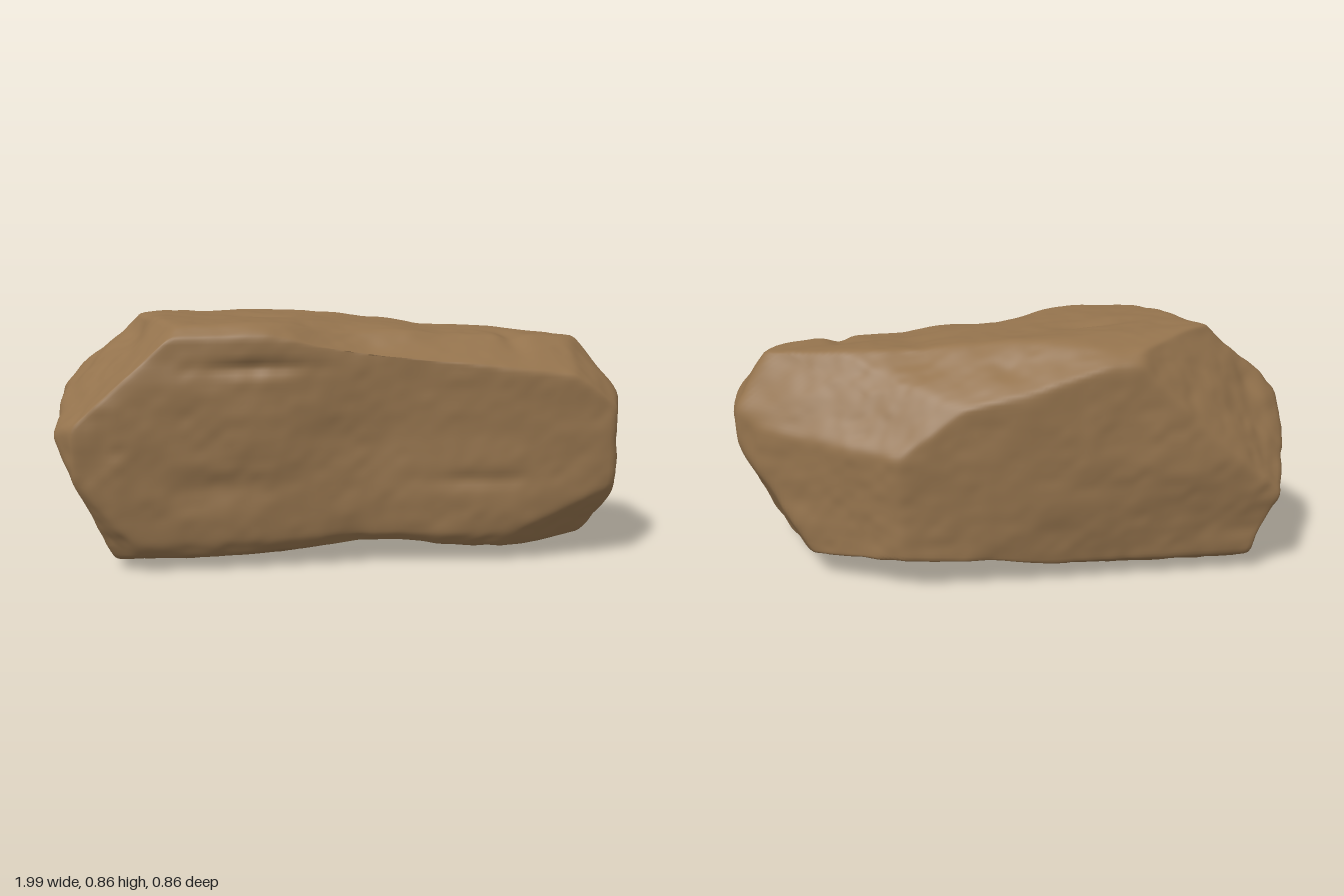
import * as THREE from 'three';
import { mergeVertices } from 'three/addons/utils/BufferGeometryUtils.js';

const MID = 0.43; // height of the rock's core

// Convex outlines of the boulder in three directions
const outlineXY = [[-1, 0.47], [-0.99, 0.6], [-0.72, 0.855], [0.05, 0.837], [0.87, 0.765], [1, 0.55],
  [0.98, 0.3], [0.88, 0.08], [0.55, 0.03], [-0.45, 0], [-0.79, 0]];
const outlineXZ = [[-0.94, -0.43], [-0.3, -0.435], [0.43, -0.375], [0.87, -0.1], [0.98, 0], [1, 0.2],
  [0.94, 0.39], [0.7, 0.405], [-0.92, 0.425], [-1, 0.3], [-1, -0.3]];
const outlineZY = [[0.36, 0.845], [-0.18, 0.855], [-0.36, 0.815], [-0.405, 0.77], [-0.43, 0.4], [-0.39, 0.06],
  [-0.33, 0.025], [-0.14, 0], [0.2, 0], [0.36, 0.045], [0.395, 0.1], [0.43, 0.5], [0.41, 0.8]];

// Broken faces, each a plane through three points
const chips = [
  [[0.45, 0.05, 0.4], [0.93, 0.27, 0.39], [0.88, 0.06, 0.26]], // low front right corner
  [[-0.88, 0.3, 0.42], [-0.6, 0.02, 0.42], [-0.82, 0.01, 0.28]], // low front left corner
  [[0.6, 0.8, 0.4], [0.93, 0.55, 0.4], [0.9, 0.72, 0.15]], // high front right corner
  [[-0.38, 0.76, -0.42], [-0.87, 0.31, -0.43], [-0.99, 0.6, -0.13]], // high back left
  [[-0.3, 0.77, -0.41], [0.43, 0.6, -0.365], [0.2, 0.82, -0.17]], // high back
  [[0.83, 0.77, 0.05], [0.92, 0.5, -0.08], [0.43, 0.5, -0.36]], // leaning slant behind the right end
  [[-0.3, 0.81, 0.41], [0.9, 0.65, 0.385], [0.6, 0.77, 0.24]], // high front edge
  [[-0.66, 0.75, 0.41], [-0.98, 0.5, 0.3], [-0.66, 0.85, 0.1]], // high front left
  [[0.98, 0.45, 0], [0.93, 0.3, 0.12], [0.8, 0.08, 0.08]], // undercut right end
  [[0.36, 0.1, -0.375], [0.72, 0.08, -0.19], [0.2, 0, -0.1]], // undercut back
];

// Shallow hollows: centre, radii, depth
const hollows = [
  [[-0.32, 0.7, 0.42], [0.2, 0.03, 0.2], 0.02],
  [[-0.4, 0.3, 0.42], [0.25, 0.06, 0.2], 0.012],
  [[0.45, 0.3, 0.4], [0.2, 0.035, 0.2], 0.012],
  [[0.1, 0.42, 0.4], [0.38, 0.5, 0.2], 0.04],
  [[0.03, 0.82, 0.32], [0.2, 0.15, 0.15], 0.035],
  [[0.1, 0, 0.2], [0.3, 0.15, 0.7], 0.04],
  [[0.35, 0.8, 0], [0.22, 0.12, 0.5], 0.022],
  [[0.6, 0.78, 0.2], [0.05, 0.15, 0.13], 0.02],
  [[-0.28, 0.85, -0.02], [0.13, 0.1, 0.05], 0.015],
  [[0.06, 0.82, -0.32], [0.06, 0.1, 0.05], 0.02],
  [[-0.74, 0.79, 0.05], [0.09, 0.1, 0.2], 0.03],
  [[-0.86, 0.7, -0.2], [0.05, 0.14, 0.12], 0.015],
  [[1, 0.5, -0.04], [0.1, 0.12, 0.04], 0.02],
];

function buildPlanes() {
  const planes = [];
  const core = new THREE.Vector3(0, MID, 0);
  const add = (a, b, c) => {
    const normal = b.clone().sub(a).cross(c.clone().sub(a)).normalize();
    let d = normal.dot(a.clone().sub(core));
    if (d < 0) { normal.negate(); d = -d; }
    planes.push({ normal, d });
  };
  const extrude = (outline, place) => outline.forEach((p, i) => {
    const q = outline[(i + 1) % outline.length];
    add(place(p, 0), place(q, 0), place(p, 1));
  });
  extrude(outlineXY, ([x, y], t) => new THREE.Vector3(x, y, t));
  extrude(outlineXZ, ([x, z], t) => new THREE.Vector3(x, t, z));
  extrude(outlineZY, ([z, y], t) => new THREE.Vector3(t, y, z));
  chips.forEach((c) => add(...c.map((p) => new THREE.Vector3(...p))));
  return planes;
}

// Smooth seeded value noise in -1..1
function hash(x, y, z) {
  let h = Math.imul(x, 374761393) ^ Math.imul(y, 668265263) ^ Math.imul(z, 873357471);
  h = Math.imul(h ^ (h >>> 13), 1274126177);
  return ((h ^ (h >>> 16)) >>> 0) / 2147483648 - 1;
}
function noise(x, y, z) {
  const i = [x, y, z].map(Math.floor);
  const [u, v, w] = [x - i[0], y - i[1], z - i[2]].map((t) => t * t * (3 - 2 * t));
  const mix = THREE.MathUtils.lerp;
  const row = (b, c) => mix(hash(i[0], i[1] + b, i[2] + c), hash(i[0] + 1, i[1] + b, i[2] + c), u);
  return mix(mix(row(0, 0), row(1, 0), v), mix(row(0, 1), row(1, 1), v), w);
}

// Rock roughness, stronger on the broken left-hand end
function relief(p) {
  const rough = 1 + 0.8 * THREE.MathUtils.smoothstep(-p.x, 0.68, 0.85);
  let h = 0.006 * noise(p.x * 4 + 9, p.y * 5, p.z * 5)
    + rough * 0.005 * noise(p.x * 9, p.y * 11 + 5, p.z * 11)
    + rough * 0.002 * noise(p.x * 22, p.y * 26, p.z * 26 + 3);
  for (const [c, r, depth] of hollows) {
    const s = ((p.x - c[0]) / r[0]) ** 2 + ((p.y - c[1]) / r[1]) ** 2 + ((p.z - c[2]) / r[2]) ** 2;
    h -= depth * Math.exp(-1.5 * s);
  }
  return h;
}

function buildRock() {
  let geometry = new THREE.BoxGeometry(1.9, 0.8, 0.8, 120, 54, 54);
  geometry.deleteAttribute('uv');
  geometry.deleteAttribute('normal');
  geometry.clearGroups();
  geometry = mergeVertices(geometry, 1e-4);
  const pos = geometry.attributes.position;
  const planes = buildPlanes();
  const p = new THREE.Vector3();
  const n = new THREE.Vector3();

  // Push the grid out to the planes, slightly rounding their edges
  for (let i = 0; i < pos.count; i++) {
    p.fromBufferAttribute(pos, i);
    let sum = 0;
    for (const { normal, d } of planes) sum += Math.max(0, normal.dot(p) / d) ** 110;
    p.multiplyScalar(sum ** (-1 / 110));
    pos.setXYZ(i, p.x, p.y + MID, p.z);
  }

  // Weather the surface
  geometry.computeVertexNormals();
  const normals = geometry.attributes.normal;
  for (let i = 0; i < pos.count; i++) {
    p.fromBufferAttribute(pos, i);
    n.fromBufferAttribute(normals, i);
    p.addScaledVector(n, relief(p));
    pos.setXYZ(i, p.x, p.y, p.z);
  }

  // Centre it and stand it on the ground
  geometry.computeBoundingBox();
  const c = geometry.boundingBox.getCenter(new THREE.Vector3());
  geometry.translate(-c.x, -geometry.boundingBox.min.y, -c.z);
  geometry.computeVertexNormals();
  return geometry;
}

export function createModel() {
  const group = new THREE.Group();
  group.name = 'boulder';
  const stone = new THREE.MeshStandardMaterial({ color: 0x94734d });
  stone.name = 'brown stone';
  const rock = new THREE.Mesh(buildRock(), stone);
  rock.name = 'rock';
  group.add(rock);
  return group;
}
